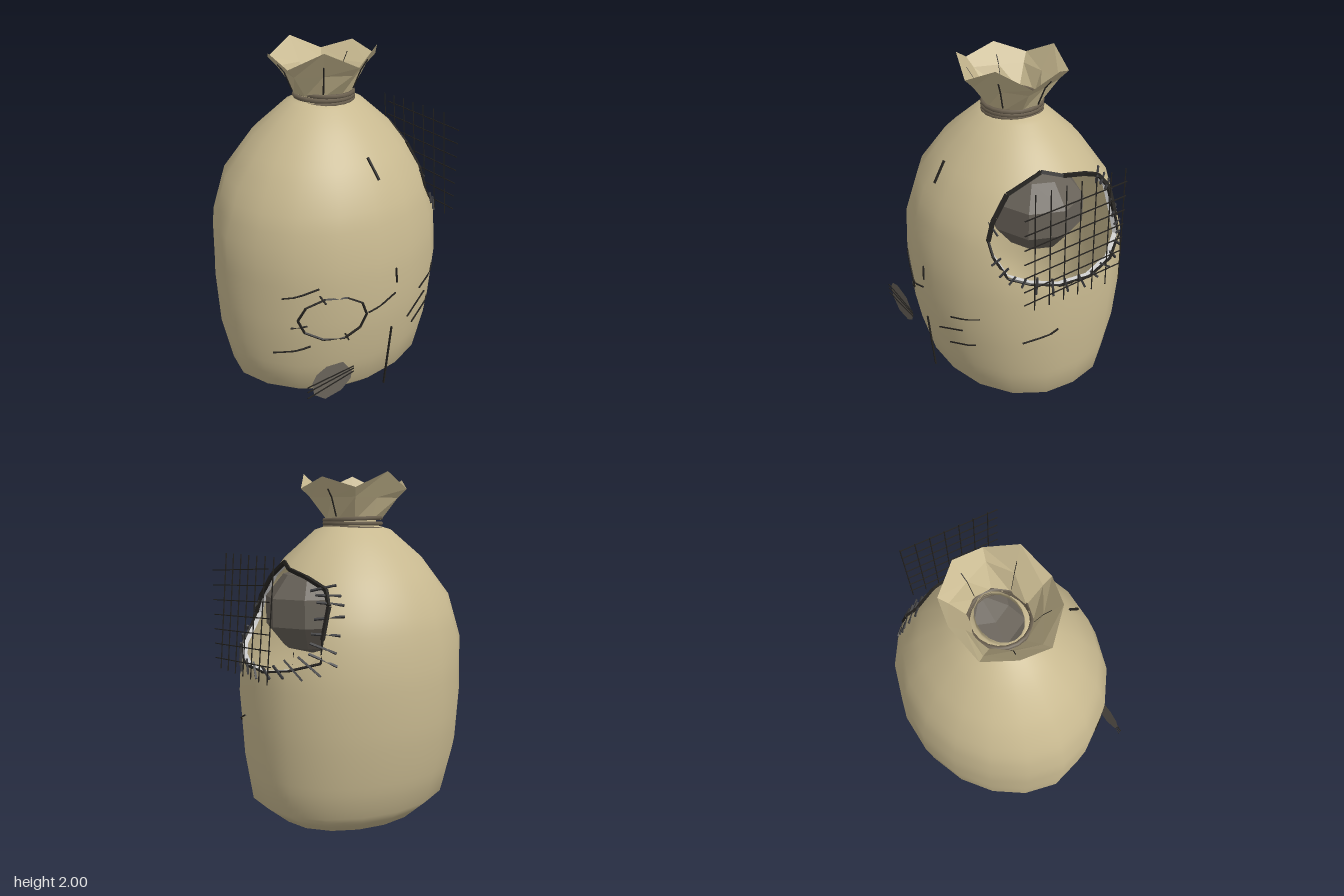
import * as THREE from 'three';

const mat = (color, extra = {}) => new THREE.MeshStandardMaterial({ color, side: THREE.DoubleSide, ...extra });
const V = (x, y, z) => new THREE.Vector3(x, y, z);
const { lerp, clamp } = THREE.MathUtils;

// Sack rings from the floor centre to the neck: y, x radius, z radius, x centre
const RINGS = [
  [0, 0, 0, -0.005], [0, 0.475, 0.405, -0.005], [0.12, 0.637, 0.53, -0.025], [0.4, 0.685, 0.6, -0.035],
  [0.72, 0.7, 0.63, -0.035], [1.04, 0.687, 0.612, -0.035], [1.3, 0.597, 0.535, -0.03],
  [1.52, 0.425, 0.378, -0.03], [1.68, 0.235, 0.205, -0.027], [1.705, 0.155, 0.125, -0.022], [1.75, 0.15, 0.12, -0.02],
];
const SIDES = 18, STEP = 2 * Math.PI / SIDES;

// Hole outline on the +x side, as (z, y)
const HOLE = [
  [0.11, 1.5], [0.3, 1.41], [0.4, 1.28], [0.435, 1.18], [0.435, 1.1], [0.4, 1.0], [0.3, 0.96], [0.15, 0.93], [-0.04, 0.92],
  [-0.22, 0.95], [-0.37, 1.0], [-0.355, 1.12], [-0.34, 1.29], [-0.28, 1.37], [-0.15, 1.43], [0.0, 1.465],
];

// Corner n of a ring; the lower sack bulges a little towards +x +z
function corner(n, [y, rx, rz, cx]) {
  const c = Math.cos(n * STEP), s = Math.sin(n * STEP);
  const f = 1 + 0.035 * clamp((1.3 - y) / 0.5, 0, 1) * Math.abs(2 * s * c) * (0.8 * c + 0.5 * s);
  return V(cx + rx * c * f, y, rz * s * f);
}
function ringAt(y) {
  let i = 1;
  while (i < RINGS.length - 2 && RINGS[i + 1][0] < y) i++;
  const t = clamp((y - RINGS[i][0]) / (RINGS[i + 1][0] - RINGS[i][0]), 0, 1);
  return RINGS[i].map((v, k) => lerp(v, RINGS[i + 1][k], t));
}
// Point on the faceted cloth at height y where the given axis has the given value
function onCloth(axis, value, y, first) {
  const ring = ringAt(y);
  let n = first;
  while (n < first + 8 && (corner(n, ring)[axis] - value) * (corner(n + 1, ring)[axis] - value) > 0) n++;
  const a = corner(n, ring), b = corner(n + 1, ring);
  return a.lerp(b, (value - a[axis]) / (b[axis] - a[axis]));
}
const onSide = (z, y, out = 0) => onCloth('z', z, y, -4).add(V(out, 0, 0));
const onFront = (x, y, out = 0.004) => onCloth('x', x, y, 0).add(V(0, 0, out));

// Cloth surface; u counts sides, v counts rings
function surface(u, v) {
  const i = Math.min(Math.floor(v), RINGS.length - 2), f = Math.floor(u);
  const ring = RINGS[i].map((a, k) => lerp(a, RINGS[i + 1][k], v - i));
  return corner(f, ring).lerp(corner(f + 1, ring), u - f);
}

function inHole(z, y) {
  let inside = false;
  HOLE.forEach(([z1, y1], i) => {
    const [z2, y2] = HOLE[(i + 1) % HOLE.length];
    if ((y1 > y) !== (y2 > y) && z < z1 + (y - y1) / (y2 - y1) * (z2 - z1)) inside = !inside;
  });
  return inside;
}
function nearestOnRim(p) {
  let best = null, dist = Infinity;
  const q = new THREE.Vector3(), flat = V(0, p.y, p.z);
  HOLE.forEach(([z, y], i) => {
    const [z2, y2] = HOLE[(i + 1) % HOLE.length];
    new THREE.Line3(V(0, y, z), V(0, y2, z2)).closestPointToPoint(flat, true, q);
    if (q.distanceTo(flat) < dist) { dist = q.distanceTo(flat); best = q.clone(); }
  });
  return onSide(best.z, best.y);
}

// Sack cloth with smooth normals and the hole cut along its outline
function sackGeometry() {
  const N = 6, cols = SIDES * N, rows = (RINGS.length - 1) * N;
  const pos = [], nor = [], idx = [], cut = [];
  for (let r = 0; r <= rows; r++) for (let c = 0; c <= cols; c++) {
    const u = c / N, v = r / N;
    let p = surface(u, v);
    const du = surface(u + 0.5, v).sub(surface(u - 0.5, v));
    const dv = surface(u, Math.min(v + 0.6, RINGS.length - 1)).sub(surface(u, Math.max(v - 0.6, 0)));
    const n = dv.cross(du).normalize();
    if (n.length() < 0.5) n.set(0, -1, 0);
    const gone = p.x > 0 && inHole(p.z, p.y);
    if (gone) p = nearestOnRim(p);
    cut.push(gone);
    pos.push(...p.toArray());
    nor.push(...n.toArray());
  }
  for (let r = 0; r < rows; r++) for (let c = 0; c < cols; c++) {
    const a = r * (cols + 1) + c, b = a + 1, d = a + cols + 1, e = d + 1;
    for (const t of [[a, d, b], [b, d, e]]) if (!t.every((k) => cut[k])) idx.push(...t);
  }
  const g = new THREE.BufferGeometry();
  g.setAttribute('position', new THREE.Float32BufferAttribute(pos, 3));
  g.setAttribute('normal', new THREE.Float32BufferAttribute(nor, 3));
  g.setIndex(idx);
  return g;
}

// Quad strip between two closed rows of points
function strip(a, b) {
  const g = new THREE.BufferGeometry().setFromPoints([...a, ...b]), n = a.length, idx = [];
  for (let i = 0; i < n; i++) {
    const j = (i + 1) % n;
    idx.push(i, n + i, j, j, n + i, n + j);
  }
  g.setIndex(idx);
  g.computeVertexNormals();
  return g;
}

export function createModel() {
  const root = new THREE.Group();
  const cloth = mat(0xc8b990), flatCloth = mat(0xc8b990, { flatShading: true });
  const ink = mat(0x24221f), thread = mat(0x3a3a3c), dark = mat(0x686259, { flatShading: true });
  const add = (name, geo, m, parent = root) => {
    const mesh = new THREE.Mesh(geo, m);
    mesh.name = name;
    parent.add(mesh);
    return mesh;
  };
  const group = (name) => {
    const g = new THREE.Group();
    g.name = name;
    root.add(g);
    return g;
  };
  const strand = (name, a, b, w, m, parent) => {
    const s = add(name, new THREE.BoxGeometry(w, a.distanceTo(b), w), m, parent);
    s.position.copy(a).add(b).multiplyScalar(0.5);
    s.quaternion.setFromUnitVectors(V(0, 1, 0), b.clone().sub(a).normalize());
  };

  add('sackBody', sackGeometry(), cloth);

  // Ruffled mouth with five peaks, lower at the sides
  const ruffle = (r, dr, y, dy) => Array.from({ length: 10 }, (_, i) => {
    const a = -Math.PI / 2 + i * Math.PI / 5, s = i % 2 ? -1 : 1, drop = i === 2 || i === 8 ? dy * 0.7 : 0;
    return V(-0.032 + (r + s * dr) * 1.12 * Math.cos(a), y + s * dy - drop, (r + s * dr) * Math.sin(a));
  });
  const low = ruffle(0.155, 0, 1.735, 0), mid = ruffle(0.225, -0.022, 1.86, 0), top = ruffle(0.292, -0.005, 1.955, 0.045);
  add('ruffleLower', strip(low, mid), flatCloth);
  add('ruffleUpper', strip(mid, top), flatCloth);
  const folds = group('ruffleFolds');
  for (const i of [2, 4, 6, 8]) {
    const a = low[i].clone().lerp(mid[i], 0.15), b = mid[i].clone().lerp(top[i], 0.4);
    const out = V(a.x + 0.03, 0, a.z).setLength(0.003);
    strand('fold', a.add(out), mid[i].clone().add(out), 0.006, ink, folds);
    strand('fold', mid[i].clone().add(out), b.add(out), 0.006, ink, folds);
  }

  // Cord around the neck
  const cord = group('neckCord');
  [1.69, 1.715, 1.74].forEach((y, i) => {
    const t = add('cordTurn', new THREE.TorusGeometry(0.166, 0.013, 6, 20), mat(0x6b604f), cord);
    t.position.set(-0.025, y, 0);
    t.rotation.set(Math.PI / 2 + 0.03 * (i - 1), 0.03 * (1 - i), 0);
  });

  // Contents showing through the hole
  const ball = add('contents', new THREE.SphereGeometry(0.29, 8, 5), dark);
  ball.position.set(0.25, 1.225, 0.04);
  ball.scale.set(1, 0.88, 0.95);

  // Torn rim: dark edge, pale inward lip and slanted stitches
  const rim = group('hole');
  const edge = HOLE.map(([z, y]) => onSide(z, y));
  const inner = edge.map((p) => V(p.x - 0.03, 1.2 + (p.y - 1.2) * 0.98, 0.03 + (p.z - 0.03) * 0.95));
  add('lip', strip(edge, inner), mat(0xcccccc, { flatShading: true }), rim);
  edge.forEach((p, i) => {
    const q = edge[(i + 1) % edge.length], lower = p.y < 1.2 && q.y < 1.2;
    strand('edge', p, q, lower ? 0.011 : 0.02, ink, rim);
    for (const t of [0.15, 0.65]) {
      const m = p.clone().lerp(q, t);
      if (m.y > 1.1 && m.z > -0.2) continue;
      const dz = (m.z - 0.03) * 0.11 - 0.022, dy = (m.y - 1.2) * 0.13 - 0.02 + 0.012 * (i % 3);
      strand('stitch', onSide(m.z - dz * 0.8, m.y - dy, 0.01), onSide(m.z + dz, m.y + dy, 0.01), 0.011, thread, rim);
    }
  });
  strand('stitch', V(0.3, 1.31, 0.42), V(0.41, 1.22, 0.4), 0.008, thread, rim);

  // Loose net of threads standing off the hole
  const net = group('net');
  for (let i = 0; i < 7; i++) {
    const z = 0.34 - i * 0.09, y = 0.94 + i * 0.085, x = 0.637 + i * 0.008;
    strand('netUpright', V(x, 1.55, z - 0.01), V(x + 0.042, 0.885, z + 0.015), 0.005, ink, net);
    strand('netCross', V(0.675, y, 0.42), V(0.712, y + 0.04, -0.2), 0.005, ink, net);
  }

  // Creases following the cloth: surface, start, end (across, y), width
  const creases = group('creases');
  for (const [on, a1, y1, a2, y2, w] of [
    [onFront, -0.61, 0.76, -0.47, 0.83, 0.008], [onFront, -0.22, 0.64, -0.04, 0.71, 0.007],
    [onFront, -0.03, 0.77, -0.035, 0.86, 0.008], [onFront, 0.2, 0.63, 0.39, 0.7, 0.007],
    [onFront, 0.09, 0.49, 0.28, 0.57, 0.007], [onFront, 0.16, 0.41, 0.35, 0.49, 0.007],
    [onFront, -0.63, 0.39, -0.5, 0.46, 0.009], [onFront, -0.065, 1.35, -0.08, 1.46, 0.012],
    [onSide, 0.34, 0.56, 0.16, 0.64, 0.008],
  ]) {
    const at = (t) => on(lerp(a1, a2, t), lerp(y1, y2, t), 0.004);
    for (let i = 0; i < 4; i++) strand('crease', at(i / 4), at((i + 1) / 4), w, ink, creases);
  }
  strand('frontSeam', V(-0.055, 0.07, 0.576), V(-0.045, 0.48, 0.612), 0.009, ink, creases);

  // Round sewn patch outline with stitches
  const patch = group('patchOutline');
  const around = (a, r) => onFront(-0.395 + r * 1.2 * Math.cos(a), 0.635 + r * Math.sin(a));
  for (let i = 0; i < 10; i++) strand('outline', around(i * Math.PI / 5, 0.138), around((i + 1) * Math.PI / 5, 0.138), 0.01, ink, patch);
  for (const a of [1.95, 3.5, 5.1]) strand('stitch', around(a, 0.11), around(a, 0.165), 0.008, ink, patch);

  // Flat dark patch with threads, standing off the lower front
  const darkPatch = group('darkPatch');
  const outline = [[-0.61, 0.35], [-0.58, 0.39], [-0.51, 0.41], [-0.39, 0.385], [-0.32, 0.29], [-0.33, 0.245], [-0.4, 0.2], [-0.52, 0.2], [-0.6, 0.27]];
  add('patchCloth', new THREE.ShapeGeometry(new THREE.Shape(outline.map(([x, y]) => new THREE.Vector2(x, y)))), dark, darkPatch).position.z = 0.58;
  for (const y of [0.27, 0.31, 0.34]) strand('patchThread', V(-0.645, y, 0.583), V(-0.31, y + (0.3 - y) * 0.5, 0.583), 0.005, ink, darkPatch);

  return root;
}
